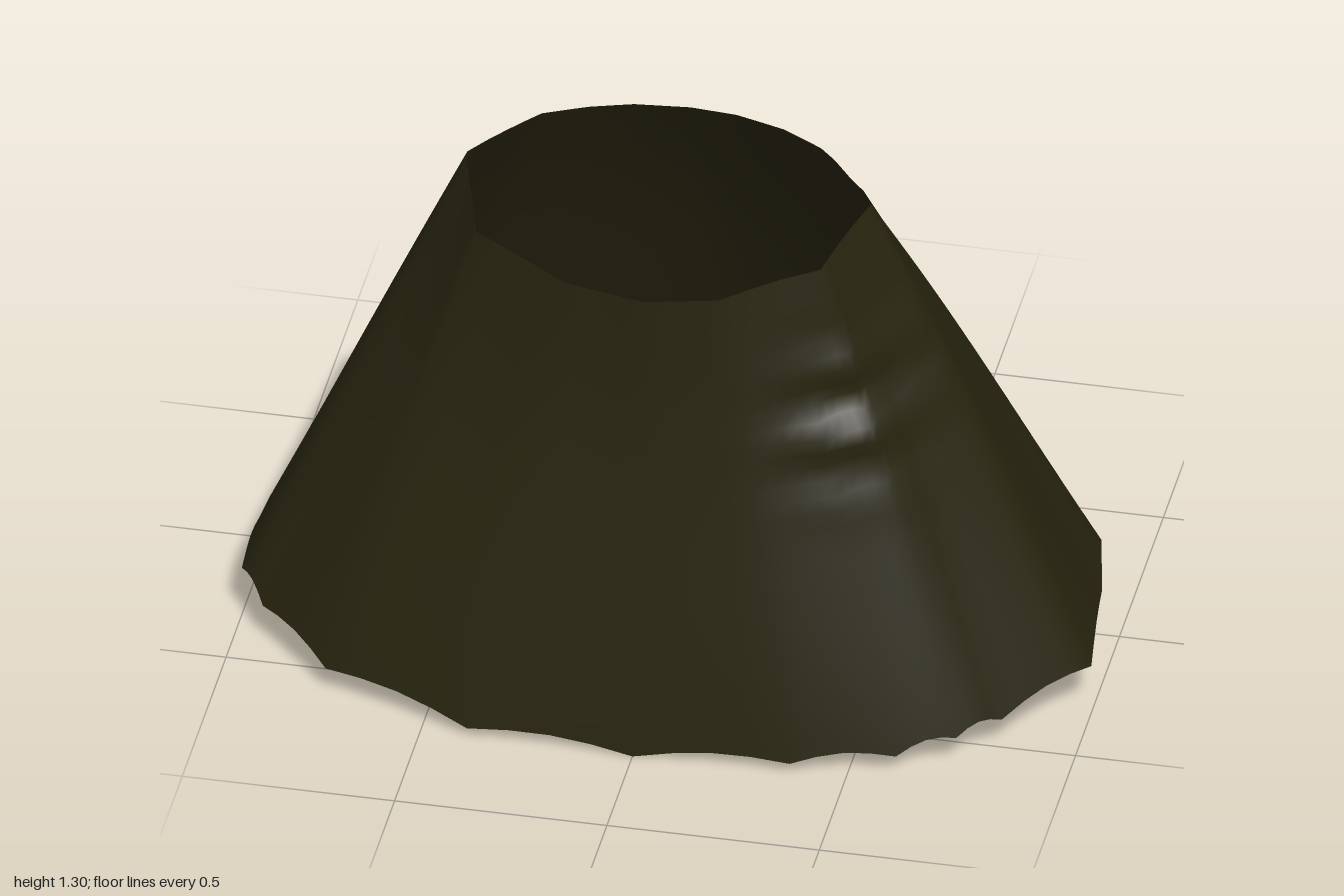
import * as THREE from 'three';

// Matching stations around the skirt: hem x, hem z, hem y, waist x, waist z
const STATIONS = [
  [-0.02, -0.71, 0.14, -0.02, -0.05],
  [0.28, -0.67, 0.08, 0.09, -0.04],
  [0.5, -0.57, 0.09, 0.21, 0],
  [0.62, -0.52, 0.1, 0.31, 0.06],
  [0.75, -0.42, 0.1, 0.35, 0.1],
  [0.92, -0.18, 0.14, 0.4, 0.16],
  [0.955, -0.02, 0.11, 0.44, 0.2],
  [1.0, 0.32, 0.13, 0.465, 0.24],
  [0.83, 0.52, 0.09, 0.42, 0.36],
  [0.74, 0.6, 0.08, 0.39, 0.45],
  [0.61, 0.66, 0.05, 0.3, 0.49],
  [0.37, 0.71, 0.03, 0.17, 0.56],
  [0, 0.71, 0, 0, 0.585],
  [-0.39, 0.71, 0.025, -0.19, 0.56],
  [-0.745, 0.6, 0.07, -0.42, 0.455],
  [-0.93, 0.42, 0.1, -0.46, 0.33],
  [-1, 0.32, 0.13, -0.485, 0.25],
  [-1, 0.13, 0.14, -0.49, 0.22],
  [-0.955, -0.18, 0.14, -0.45, 0.17],
  [-0.78, -0.42, 0.1, -0.35, 0.05],
  [-0.53, -0.57, 0.09, -0.25, 0],
  [-0.31, -0.67, 0.08, -0.15, -0.035],
];
const SUB = 4, ROWS = 32, COLS = STATIONS.length * SUB;

// Point on the cloth: column i around, t from hem (0) to waist (1)
function clothPoint(i, t) {
  const k = Math.floor(i / SUB) % STATIONS.length, f = (i % SUB) / SUB;
  const a = STATIONS[k], b = STATIONS[(k + 1) % STATIONS.length];
  const [hx, hz, hy, wx, wz] = a.map((v, n) => v + (b[n] - v) * f);
  const hemY = hy + 0.02 * Math.sin(Math.PI * f);
  const waistY = 1.305 - 0.43 * (wz - 0.05) ** 2;
  const p = new THREE.Vector3(
    hx + (wx - hx) * t,
    hemY + (waistY - hemY) * t,
    hz + (wz - hz) * t - 0.025 * Math.sin(Math.PI * t ** 1.5),
  );
  // two small gathered folds at the front left
  if (p.z > 0.25 && p.x > 0) {
    const fade = Math.exp(-(((p.x - 0.47) / 0.13) ** 2) - ((p.y - 0.87) / 0.15) ** 2);
    const d = 0.022 * fade * Math.sin((2 * Math.PI * (p.y - 0.77)) / 0.18);
    p.x += d * 0.5;
    p.z += d * 0.85;
  }
  return p;
}

function makeGeometry(points, index) {
  const g = new THREE.BufferGeometry().setFromPoints(points);
  g.setIndex(index);
  g.computeVertexNormals();
  return g;
}

export function createModel() {
  const group = new THREE.Group();
  group.name = 'skirt';
  const cloth = new THREE.MeshStandardMaterial({ color: 0x27240f, side: THREE.DoubleSide });
  cloth.name = 'dark olive cloth';

  // flared wall, open at the waist
  const points = [], index = [];
  for (let j = 0; j <= ROWS; j++) {
    for (let i = 0; i < COLS; i++) {
      points.push(clothPoint(i, j / ROWS));
      if (j === ROWS) continue;
      const a = j * COLS + i, b = j * COLS + ((i + 1) % COLS);
      index.push(a, a + COLS, b, b, a + COLS, b + COLS);
    }
  }
  const wall = new THREE.Mesh(makeGeometry(points, index), cloth);
  wall.name = 'skirtWall';

  // underside, fanned from a raised centre to the wavy hem
  const hem = [new THREE.Vector3(0, 0.19, 0.05)], fan = [];
  for (let i = 0; i < COLS; i++) {
    hem.push(clothPoint(i, 0));
    fan.push(0, i + 1, ((i + 1) % COLS) + 1);
  }
  const underside = new THREE.Mesh(makeGeometry(hem, fan), cloth);
  underside.name = 'underside';

  group.add(wall, underside);
  return group;
}
